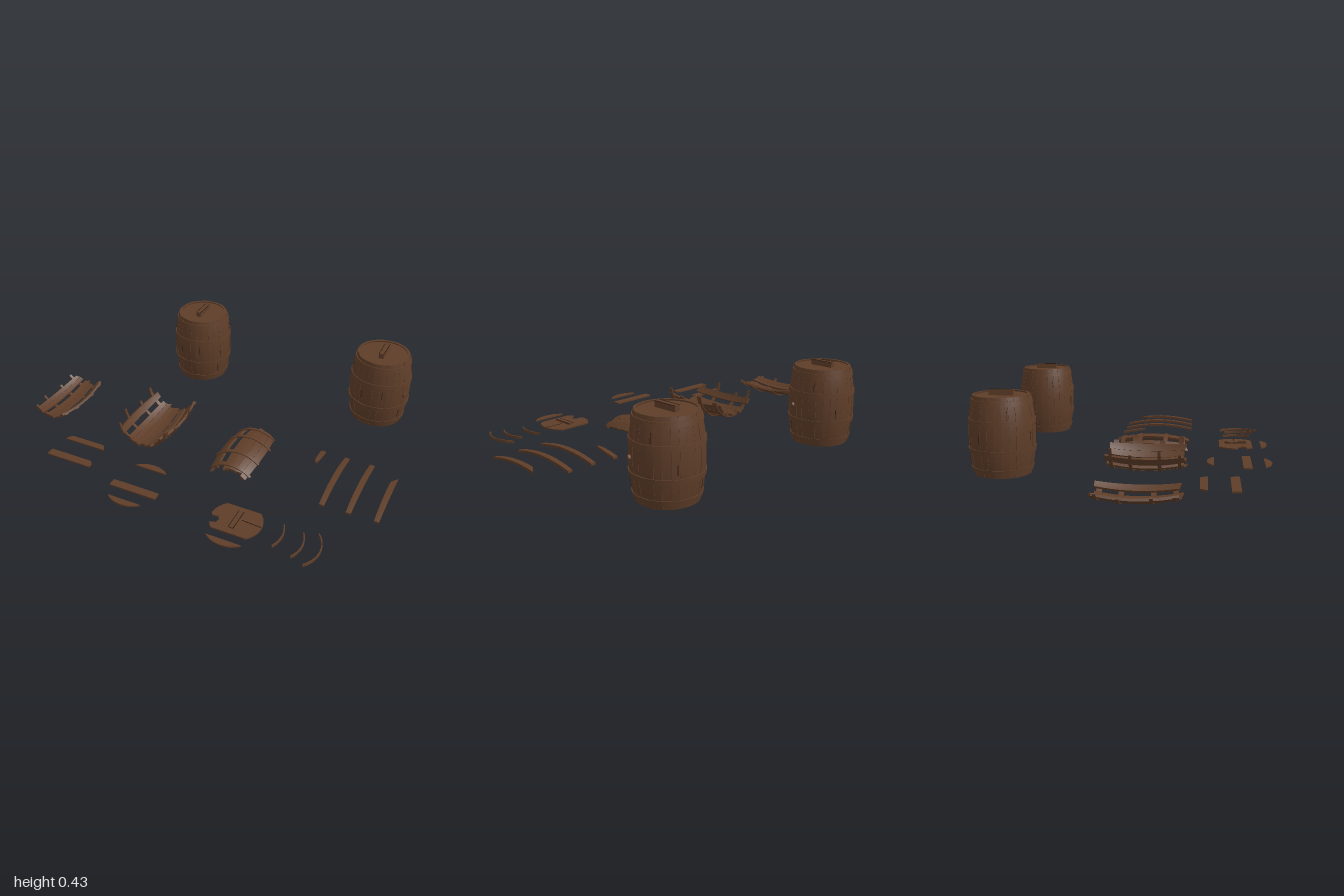
import * as THREE from 'three';

const wood = new THREE.MeshStandardMaterial({ color: 0x5e3d28 });
wood.name = 'brown wood';
const crackMat = new THREE.MeshStandardMaterial({ color: 0x2a1a10 });
crackMat.name = 'dark crack';

const HALF = 0.195; // half the barrel length
const STAVES = 28;
const HOOPS = [-0.165, -0.07, 0.07, 0.165];
const bulge = (t) => 0.162 - 0.024 * (t / HALF) ** 2;

// Curved slab around the z axis: angle a0..a1 (0 is up), length t0..t1
function slab(a0, a1, t0, t1, inner, outer, { radius = bulge, jag0 = 0, jag1 = 0, tip = 1 } = {}) {
  const na = Math.max(1, Math.ceil((a1 - a0) / 0.13));
  const nt = Math.max(1, Math.ceil((t1 - t0) / 0.04));
  const geo = new THREE.BoxGeometry(1, 1, 1, na, 1, nt);
  const p = geo.attributes.position;
  for (let i = 0; i < p.count; i++) {
    const u = p.getX(i), w = p.getZ(i) + 0.5;
    const narrow = 1 - (1 - tip) * w ** 3;
    const a = (a0 + a1) / 2 + u * (a1 - a0) * narrow;
    const t = t0 + (t1 - t0) * w + u * (jag0 * (1 - w) + jag1 * w);
    const r = radius(t) + (p.getY(i) > 0 ? outer : inner);
    p.setXYZ(i, r * Math.sin(a), r * Math.cos(a), t);
  }
  geo.computeVertexNormals();
  return geo;
}

function add(group, name, geo, mat = wood, x = 0, y = 0, z = 0) {
  const mesh = new THREE.Mesh(geo, mat);
  mesh.name = name;
  mesh.position.set(x, y, z);
  group.add(mesh);
  return mesh;
}

function part(parent, name, x, y, z) {
  const g = new THREE.Group();
  g.name = name;
  g.position.set(x, y, z);
  parent.add(g);
  return g;
}

// Whole barrel, axis turned upright
function barrel(parent, x, z) {
  const g = part(parent, 'barrel', x, 0.215, z);
  const shell = part(g, 'barrelShell', 0, 0, 0);
  shell.rotation.x = -Math.PI / 2;
  const step = (Math.PI * 2) / STAVES;
  for (let i = 0; i < STAVES; i++) {
    const lift = (i % 3) * 0.0008;
    add(shell, 'stave', slab(i * step + 0.003, (i + 1) * step - 0.003, -HALF, HALF, -0.012, lift));
  }
  for (const t of HOOPS) {
    add(shell, 'hoop', slab(0, Math.PI * 2, t - 0.011, t + 0.011, -0.002, 0.005));
  }
  // Short splits in the staves
  [[0.5, -0.02], [1.2, 0.11], [2.1, -0.11], [2.8, 0.02], [3.5, 0.0], [4.3, 0.11], [5.2, 0.0], [5.9, -0.11]]
    .forEach(([a, t]) => add(shell, 'split', slab(a, a + 0.018, t - 0.022, t + 0.022, 0.001, 0.0025), crackMat));
  // Bung on the side
  const a = Math.PI / 2 + 0.4;
  const bung = add(g, 'bung', new THREE.CylinderGeometry(0.013, 0.015, 0.02, 14), wood,
    0.163 * Math.sin(a), 0.002, -0.163 * Math.cos(a));
  bung.rotation.set(0, a - Math.PI / 2, 0);
  bung.rotation.order = 'YXZ';
  bung.rotation.y = -(a - Math.PI / 2);
  bung.rotation.z = -Math.PI / 2;
  // Heads and the bar across the lid
  for (const s of [-1, 1]) {
    add(g, s > 0 ? 'lid' : 'base', new THREE.CylinderGeometry(0.13, 0.13, 0.012, 40), wood, 0, s * 0.182, 0);
  }
  handle(g, 0, 0.188, 0, 0.027);
}

function handle(g, x, y, z, h) {
  add(g, 'lidBar', new THREE.BoxGeometry(0.026, h, 0.12), wood, x, y + h / 2, z);
  for (const s of [-1, 1]) {
    add(g, 'lidBarEdge', new THREE.BoxGeometry(0.003, 0.002, 0.12), crackMat, x + s * 0.0125, y + h, z);
  }
}

// Broken piece of barrel wall; ranges are x extents across the piece
function brokenWall(parent, x, y, up, ranges, reach) {
  const g = part(parent, 'brokenWall', x, y, 0.11);
  if (!up) g.rotation.z = Math.PI;
  const span = (x0, x1, r) => {
    const a = [x0, x1].map((v) => (up ? 1 : -1) * Math.asin(v / r));
    return a.sort((m, n) => m - n);
  };
  let k = 0;
  for (const [x0, x1] of ranges) {
    const [a0, a1] = span(x0, x1, 0.162);
    const n = Math.max(1, Math.round((a1 - a0) / 0.22));
    for (let i = 0; i < n; i++, k++) {
      const s = (a1 - a0) / n;
      add(g, 'stave', slab(a0 + i * s + 0.004, a0 + (i + 1) * s - 0.004,
        -HALF + (k % 3) * 0.007, HALF - ((k + 1) % 3) * 0.006, -0.012, (k % 2) * 0.001,
        { jag0: (k % 2) * 0.012, jag1: ((k + 1) % 2) * -0.01 }));
    }
  }
  HOOPS.forEach((t, i) => {
    const [a0, a1] = span(reach[0] + (i % 2) * 0.008, reach[1] - ((i + 1) % 2) * 0.006, 0.1675);
    add(g, 'hoop', slab(a0, a1, t - 0.01, t + 0.01, -0.002, 0.005, { jag0: 0.006, jag1: -0.006 }));
  });
}

// Flat board with its top at y, from a list of [x, z] corners
function board(parent, name, pts, x, y, z, depth = 0.008) {
  const shape = new THREE.Shape(pts.map(([px, pz]) => new THREE.Vector2(px, pz)));
  const geo = new THREE.ExtrudeGeometry(shape, { depth, bevelEnabled: false });
  geo.rotateX(Math.PI / 2);
  return add(parent, name, geo, wood, x, y, z);
}

// Corners of one edge of a round lid between z0 and z1
function lidEdge(side, z0, z1, n = 10) {
  return Array.from({ length: n + 1 }, (_, i) => {
    const z = z0 + ((z1 - z0) * i) / n;
    return [side * Math.sqrt(Math.max(0, 0.128 ** 2 - z * z)), z];
  });
}
const lidSlice = (z0, z1) => [...lidEdge(1, z0, z1), ...lidEdge(-1, z1, z0)];

export function createModel() {
  const model = new THREE.Group();
  model.name = 'barrelsAndDebris';

  barrel(model, -0.375, -0.59);
  barrel(model, 0.715, -0.59);

  // Broken walls: two lying as bowls, one as an arch
  brokenWall(model, -0.875, 0.197, false, [[-0.1, -0.05], [-0.03, 0.04], [0.075, 0.108]], [-0.125, 0.115]);
  brokenWall(model, -0.295, 0.189, false,
    [[-0.143, -0.118], [-0.095, 0.028], [0.045, 0.08], [0.095, 0.148]], [-0.165, 0.166]);
  brokenWall(model, 0.215, -0.062, true, [[-0.119, -0.075], [-0.035, 0.11]], [-0.127, 0.122]);

  // Loose staves, two whole and two snapped
  [[0.58, -0.205, -0.075, 0.35], [0.71, -0.2, 0.2, 1], [0.843, -0.2, 0.2, 1], [0.98, -0.11, 0.2, 1]]
    .forEach(([x, t0, t1, tip], i) => {
      const jag0 = i === 3 ? -0.045 : 0;
      add(model, 'looseStave', slab(-0.09, 0.09, t0, t1, -0.012, 0, { tip, jag0 }), wood, x, -0.097, 0.11);
    });

  // Loose lid boards
  board(model, 'lidBoard', lidSlice(-0.085, -0.05), -0.573, 0.044, 0.46);
  board(model, 'lidBoard', [[-0.128, -0.022], [0.11, -0.022], [0.125, -0.008], [0.128, 0.022], [-0.128, 0.022]],
    -0.573, 0.044, 0.538);
  board(model, 'lidBoard', lidSlice(-0.128, -0.091), -0.15, 0.044, 0.533);
  board(model, 'lidBoard', lidSlice(-0.022, 0.022), -0.15, 0.044, 0.608);
  board(model, 'lidBoard', lidSlice(0.091, 0.128), -0.153, 0.044, 0.606);
  board(model, 'lidBoard', lidSlice(0.091, 0.128), 0.383, 0.02, 0.619);

  // Broken lid with a bite out of its left side
  const lid = part(model, 'brokenLid', 0.383, 0, 0.568);
  board(lid, 'lidPanel', [...lidEdge(1, -0.093, 0.093), ...lidEdge(-1, 0.093, 0.062, 3),
    [-0.082, 0.052], [-0.076, 0.03], [-0.09, 0.008], [-0.118, 0.014], ...lidEdge(-1, 0, -0.093)], 0, 0.02, 0);
  handle(lid, 0, 0, 0, 0.028);
  const crack = add(lid, 'split', new THREE.BoxGeometry(0.1, 0.002, 0.004), crackMat, 0.075, 0.02, -0.008);
  crack.rotation.y = -0.06;

  // Broken hoop pieces lying on the ground
  [[0.62, 0.577, 0.5], [0.725, 0.595, 0.56], [0.81, 0.595, 0.76]].forEach(([x, z, half]) => {
    const geo = slab(Math.PI / 2 - half, Math.PI / 2 + half, -0.007, 0.007, -0.006, 0, { radius: () => 0.16 });
    geo.rotateX(-Math.PI / 2);
    add(model, 'hoopPiece', geo, wood, x - 0.16, 0.018, z);
  });

  return model;
}
